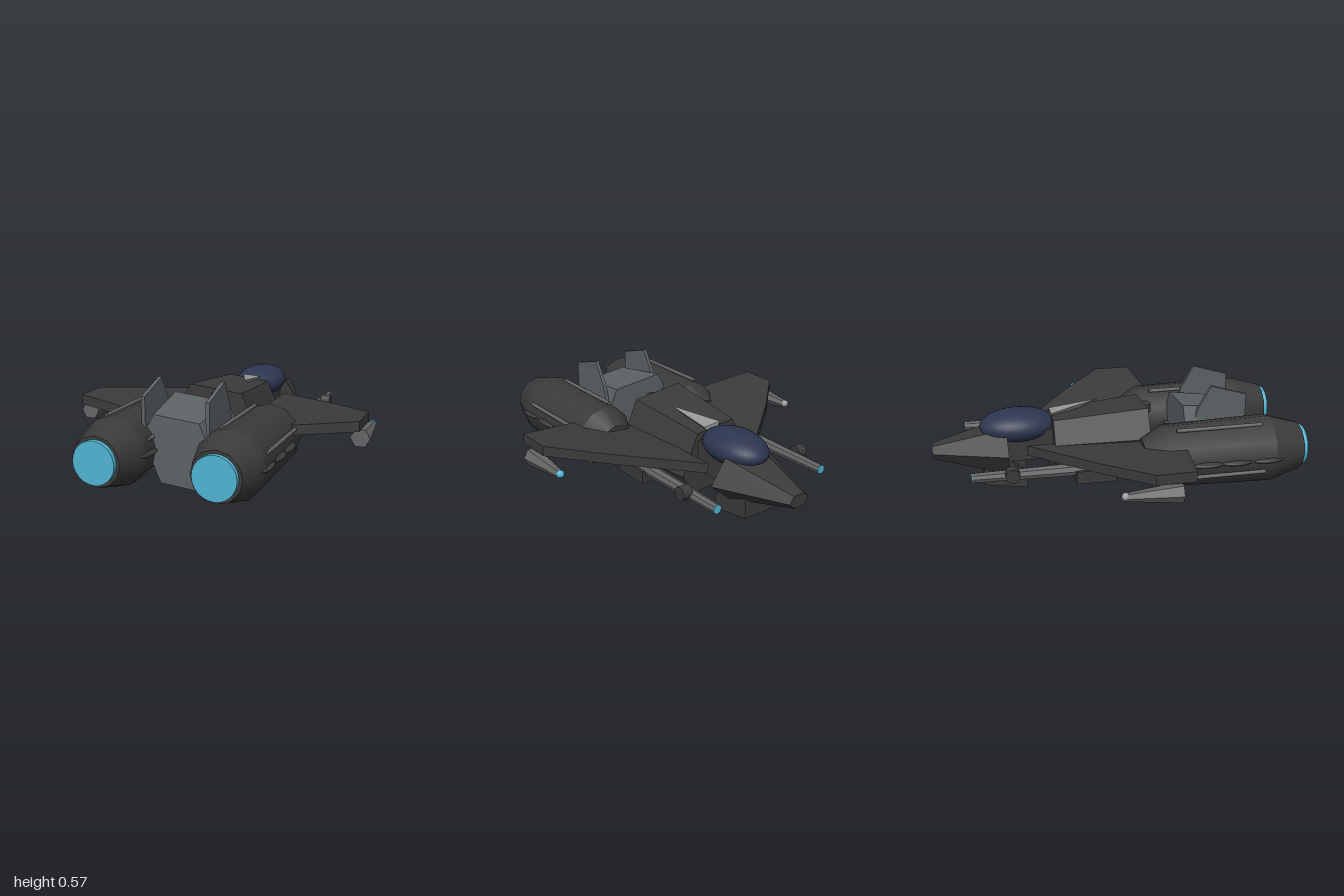
import * as THREE from 'three';

const mat = (name, color) => {
  const m = new THREE.MeshStandardMaterial({ color });
  m.name = name;
  return m;
};

export function createModel() {
  const dark = mat('charcoal hull', 0x3b3b3b);
  const grey = mat('slate grey', 0x5c6265);
  const steel = mat('gun steel', 0x656567);
  const pale = mat('pale grey', 0x9a9a9a);
  const navy = mat('navy glass', 0x2d3650);
  const cyan = mat('cyan glow', 0x50b4d2);

  const ship = new THREE.Group();
  ship.name = 'starfighter';

  const add = (name, geo, material, x = 0, y = 0, z = 0, parent = ship) => {
    const m = new THREE.Mesh(geo, material);
    m.name = name;
    m.position.set(x, y, z);
    parent.add(m);
    return m;
  };
  const facet = (geo) => {
    const g = geo.index ? geo.toNonIndexed() : geo;
    g.computeVertexNormals();
    return g;
  };
  // Cylinder or cone along z
  const tube = (rFront, rBack, z0, z1, sides) =>
    new THREE.CylinderGeometry(rBack, rFront, z1 - z0, sides).rotateX(Math.PI / 2).translate(0, 0, (z0 + z1) / 2);
  // Solid between two scaled copies of a counter-clockwise ring
  const frustum = (ring, z0, s0, z1, s1) => {
    const p = [], n = ring.length;
    const a = (i) => [ring[i % n][0] * s0, ring[i % n][1] * s0, z0];
    const b = (i) => [ring[i % n][0] * s1, ring[i % n][1] * s1, z1];
    for (let i = 0; i < n; i++) {
      p.push(...a(i), ...a(i + 1), ...b(i + 1), ...a(i), ...b(i + 1), ...b(i));
      p.push(0, 0, z1, ...b(i), ...b(i + 1), 0, 0, z0, ...a(i + 1), ...a(i));
    }
    const g = new THREE.BufferGeometry();
    g.setAttribute('position', new THREE.Float32BufferAttribute(p, 3));
    g.computeVertexNormals();
    return g;
  };
  const slab = (points, depth) =>
    new THREE.ExtrudeGeometry(new THREE.Shape(points.map(([a, b]) => new THREE.Vector2(a, b))),
      { depth, bevelEnabled: false });
  // Side profile given as (z, y), with width across x
  const sideSlab = (points, width) => slab(points, width).rotateY(-Math.PI / 2).translate(width / 2, 0, 0);

  // Skewed six-sided fuselage and rear block
  const hex = [[0.25, -0.08], [0.13, 0.2], [-0.17, 0.23], [-0.25, 0.08], [-0.13, -0.2], [0.17, -0.23]];
  add('fuselage', frustum(hex, -0.35, 0.8, 0.165, 1), dark, 0, 0.24);
  add('rearBlock', frustum(hex, 0.36, 1, 0.69, 0.82), grey, 0, 0.24);
  add('dorsalKnob', new THREE.CylinderGeometry(0.04, 0.04, 0.05, 12), dark, 0, 0.41, 0.18);

  // Nose, neck and chin
  const noseRing = [[0.22, -0.02], [0.13, 0.115], [-0.09, 0.13], [-0.22, 0.02], [-0.13, -0.115], [0.09, -0.13]];
  add('nose', frustum(noseRing, -1, 0.28, -0.6, 1), dark, 0, 0.245);
  add('neck', new THREE.BoxGeometry(0.2, 0.17, 0.3), dark, 0, 0.275, -0.47);
  add('chin', sideSlab([[-0.73, 0.06], [-0.5, 0.025], [-0.5, 0.12], [-0.6, 0.2], [-0.73, 0.2]], 0.2), dark);
  add('chinMount', new THREE.BoxGeometry(0.14, 0.09, 0.12), dark, 0, 0.16, -0.56);

  // Canopy with a pale spine sinking into the fuselage
  add('canopy', new THREE.SphereGeometry(1, 32, 20).scale(0.14, 0.09, 0.21), navy, 0, 0.365, -0.53);
  const spine = new THREE.BufferGeometry();
  spine.setAttribute('position', new THREE.Float32BufferAttribute([
    -0.05, 0.432, -0.35, 0.06, 0.459, -0.07, 0.06, 0.425, -0.35,
    -0.05, 0.432, -0.35, 0.06, 0.425, -0.35, 0, 0.36, -0.35,
    0.06, 0.425, -0.35, 0.06, 0.459, -0.07, 0, 0.36, -0.35,
    -0.05, 0.432, -0.35, 0, 0.36, -0.35, 0.06, 0.459, -0.07], 3));
  spine.computeVertexNormals();
  add('spine', spine, pale);

  // Tail fins
  const finProfile = [[0.71, 0.36], [0.71, 0.52], [0.51, 0.58], [0.44, 0.455], [0.41, 0.36]];
  for (const x of [-0.185, 0.16]) add('tailFin', sideSlab(finProfile, 0.02), grey, x);

  for (const s of [1, -1]) {
    const side = s > 0 ? 'left' : 'right';

    // Swept wing, rising toward the tip
    const plan = [[0.155, -0.5], [0.56, -0.17], [0.8, 0.055], [0.8, 0.26], [0.46, 0.31], [0.3, 0.3], [0.155, 0.15]];
    const wing = slab(plan.map(([x, z]) => [x * s, z]), 0.055).rotateX(Math.PI / 2);
    const wp = wing.attributes.position;
    for (let i = 0; i < wp.count; i++) wp.setY(i, wp.getY(i) + 0.28 + 0.12 * Math.abs(wp.getX(i)));
    wing.computeVertexNormals();
    add(side + 'Wing', wing, dark);

    // Wingtip pod
    add(side + 'WingPod', facet(tube(0.022, 0.053, -0.09, 0.19, 6).rotateZ(Math.PI / 2)), steel, s * 0.79, 0.268);
    add(side + 'PodLight', new THREE.SphereGeometry(0.021, 16, 12), s > 0 ? cyan : pale, s * 0.79, 0.272, -0.093);

    // Gun: barrel, glowing muzzle, knob and underwing mount
    const gun = new THREE.Group();
    gun.name = side + 'Gun';
    gun.position.set(s * 0.355, 0.232, 0);
    ship.add(gun);
    add('barrel', facet(tube(0.026, 0.042, -0.805, 0.1, 8)), steel, 0, 0, 0, gun);
    add('muzzle', tube(0.024, 0.024, -0.81, -0.803, 12), cyan, 0, 0, 0, gun);
    add('gunKnob', new THREE.CylinderGeometry(0.038, 0.038, 0.055, 10).rotateZ(Math.PI / 2), dark,
      s * 0.04, 0.018, -0.6, gun);
    add('gunMount', new THREE.BoxGeometry(0.1, 0.07, 0.21), dark, 0, -0.03, -0.165, gun);

    // Engine: stacked cone sections from intake to glowing nozzle
    const engine = new THREE.Group();
    engine.name = side + 'Engine';
    engine.position.set(s * 0.31, 0.247, 0);
    ship.add(engine);
    const stations = [[0.1, 0.1], [0.22, 0.168], [0.8, 0.183], [0.975, 0.13]];
    for (let i = 0; i < 3; i++) {
      const [z0, r0] = stations[i], [z1, r1] = stations[i + 1];
      add('engineSection', tube(r0, r1, z0, z1, 12), dark, 0, 0, 0, engine);
    }
    add('nozzleGlow', tube(0.112, 0.112, 0.97, 1, 24), cyan, 0, 0, 0, engine);

    // Pipes around the casing
    for (let k = 0; k < 4; k++) {
      const a = THREE.MathUtils.degToRad(22 + 90 * k);
      add('pipe', tube(0.011, 0.011, 0.27, 0.74, 8), steel, Math.cos(a) * 0.178, Math.sin(a) * 0.178, 0, engine);
    }
    // Rows of slim blisters on both flanks
    for (const f of [1, -1]) {
      [0.42, 0.58, 0.75].forEach((z) => add('blister',
        new THREE.SphereGeometry(1, 16, 10).scale(0.04, 0.016, 0.095), dark, f * 0.159, 0, z, engine));
    }
  }
  return ship;
}
